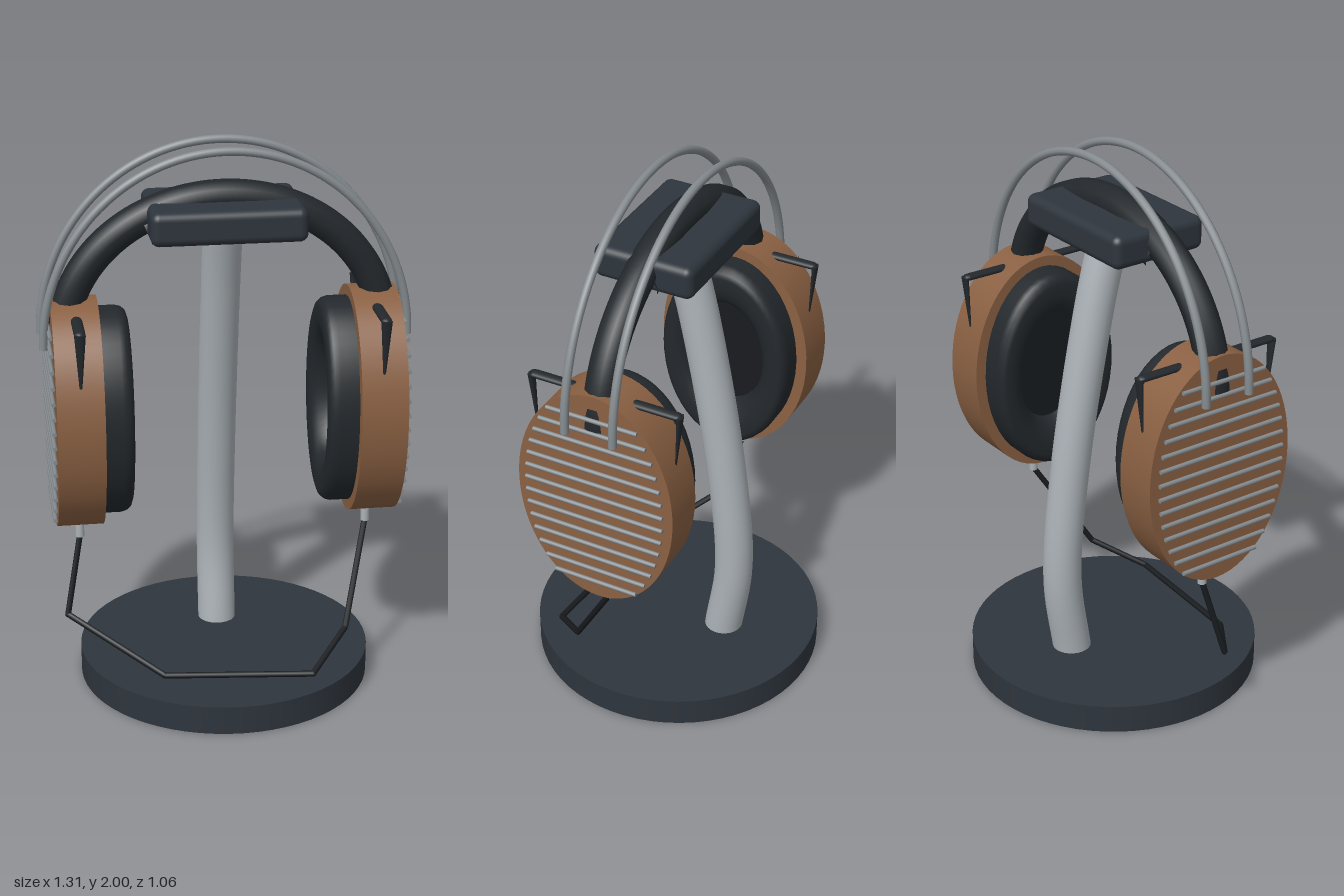
import * as THREE from 'three';
import { RoundedBoxGeometry } from 'three/addons/geometries/RoundedBoxGeometry.js';

const mat = (color) => new THREE.MeshStandardMaterial({ color });
const V = (x, y, z) => new THREE.Vector3(x, y, z);

export function createModel() {
  const model = new THREE.Group();
  const dark = mat(0x2e353d), black = mat(0x23282c), rubber = mat(0x181b1e);
  const wood = mat(0x8a6042), steel = mat(0x858b8f), silver = mat(0xaab1b6);

  const add = (parent, name, geometry, material, x = 0, y = 0, z = 0) => {
    const mesh = new THREE.Mesh(geometry, material);
    mesh.name = name;
    mesh.position.set(x, y, z);
    parent.add(mesh);
    return mesh;
  };

  // Straight round bar between two points
  const bar = (parent, name, a, b, r, material) => {
    const d = b.clone().sub(a);
    const mesh = add(parent, name, new THREE.CylinderGeometry(r, r, d.length(), 8), material);
    mesh.position.copy(a).addScaledVector(d, 0.5);
    mesh.quaternion.setFromUnitVectors(V(0, 1, 0), d.normalize());
    return mesh;
  };

  // Half-ellipse arch in the xy plane, closed at both feet
  const arch = (name, a, b, y0, z, r, sides, material) => {
    const points = [];
    for (let i = 0; i <= 32; i++) {
      const t = Math.PI * (1 - i / 32);
      points.push(V(a * Math.cos(t), y0 + b * Math.sin(t), z));
    }
    const group = new THREE.Group();
    group.name = name;
    model.add(group);
    const curve = new THREE.CatmullRomCurve3(points);
    add(group, name + 'Tube', new THREE.TubeGeometry(curve, 72, r, sides), material);
    for (const s of [-1, 1]) {
      const cap = new THREE.CircleGeometry(r, sides).rotateX(Math.PI / 2);
      add(group, name + 'End', cap, material, s * a, y0, z);
    }
  };

  // Stand: base, curved pole, rest block
  add(model, 'base', new THREE.CylinderGeometry(0.53, 0.53, 0.105, 64), dark, 0, 0.0525, 0);
  const poleCurve = new THREE.CatmullRomCurve3([
    V(0, 0.09, -0.19), V(0, 0.4, -0.23), V(0, 0.85, -0.19), V(0, 1.45, -0.08), V(0, 1.72, -0.01),
  ]);
  add(model, 'pole', new THREE.TubeGeometry(poleCurve, 48, 0.07, 24), silver);
  add(model, 'rest', new RoundedBoxGeometry(0.54, 0.12, 0.37, 4, 0.03), dark, 0, 1.74, 0);

  // Headband with its cushion, and the two spring bows
  arch('headband', 0.565, 0.497, 1.31, 0, 0.058, 10, black);
  const cushionCurve = new THREE.QuadraticBezierCurve3(
    V(-0.27, 1.70, 0), V(0, 1.81, 0), V(0.27, 1.70, 0));
  add(model, 'headbandCushion', new THREE.TubeGeometry(cushionCurve, 24, 0.062, 12), black);
  for (const z of [-0.09, 0.09]) arch('springBow', 0.64, 0.677, 1.308, z, 0.015, 10, steel);

  // Ear cups: built for +x, turned half a circle for the other side
  const cushionProfile = [
    [1, 0], [1, 0.07], [0.985, 0.09], [0.95, 0.104], [0.9, 0.11], [0.78, 0.11],
    [0.68, 0.102], [0.6, 0.08], [0.56, 0.05], [0.55, 0.025],
  ].map(([r, h]) => new THREE.Vector2(r, h));

  for (const side of ['left', 'right']) {
    const cup = new THREE.Group();
    cup.name = side + 'EarCup';
    if (side === 'right') cup.rotation.y = Math.PI;
    model.add(cup);

    const shell = new THREE.CylinderGeometry(1, 1, 0.165, 64).rotateZ(Math.PI / 2);
    add(cup, 'woodShell', shell.scale(1, 0.42, 0.295), wood, 0.5275, 1.04, 0);

    const cushion = new THREE.LatheGeometry(cushionProfile, 48).rotateZ(Math.PI / 2);
    add(cup, 'earCushion', cushion.scale(1, 0.382, 0.255), black, 0.45, 1.04, 0);
    const liner = new THREE.CircleGeometry(0.57, 48).rotateY(-Math.PI / 2);
    add(cup, 'earLiner', liner.scale(1, 0.382, 0.255), rubber, 0.42, 1.04, 0);

    // Grille slats across the outer face
    for (let i = 0; i < 14; i++) {
      const y = 0.69 + i * 0.0525;
      const half = 0.262 * Math.sqrt(1 - ((y - 1.04) / 0.437) ** 2);
      bar(cup, 'grilleSlat', V(0.619, y, -half), V(0.619, y, half), 0.008, steel);
    }

    // Flat yoke bar with tapered prongs at both ends
    const yoke = new THREE.CapsuleGeometry(0.02, 0.53, 4, 12).rotateX(Math.PI / 2);
    add(cup, 'yokeBar', yoke.scale(1, 0.6, 1), black, 0.525, 1.418, 0);
    for (const s of [-1, 1]) {
      const prong = new THREE.CylinderGeometry(0.02, 0.004, 0.21, 12).scale(1, 1, 0.5);
      add(cup, 'yokeProng', prong, black, 0.525, 1.315, s * 0.271).rotation.x = s * 0.08;
    }

    add(cup, 'cablePlug', new THREE.CylinderGeometry(0.016, 0.016, 0.08, 16), silver, 0.525, 0.595, 0);
  }

  // Cable hanging from plug to plug, lying on the base
  const cable = new THREE.Group();
  cable.name = 'cable';
  model.add(cable);
  const path = [
    V(-0.525, 0.56, 0), V(-0.58, 0.275, 0.065), V(-0.255, 0.13, 0.31),
    V(0.275, 0.122, 0.355), V(0.42, 0.22, 0.2), V(0.525, 0.56, 0),
  ];
  path.slice(1).forEach((p, i) => {
    bar(cable, 'cableRun', path[i], p, 0.011, rubber);
    if (i < path.length - 2) add(cable, 'cableBend', new THREE.SphereGeometry(0.011, 8, 6), rubber, p.x, p.y, p.z);
  });

  return model;
}
